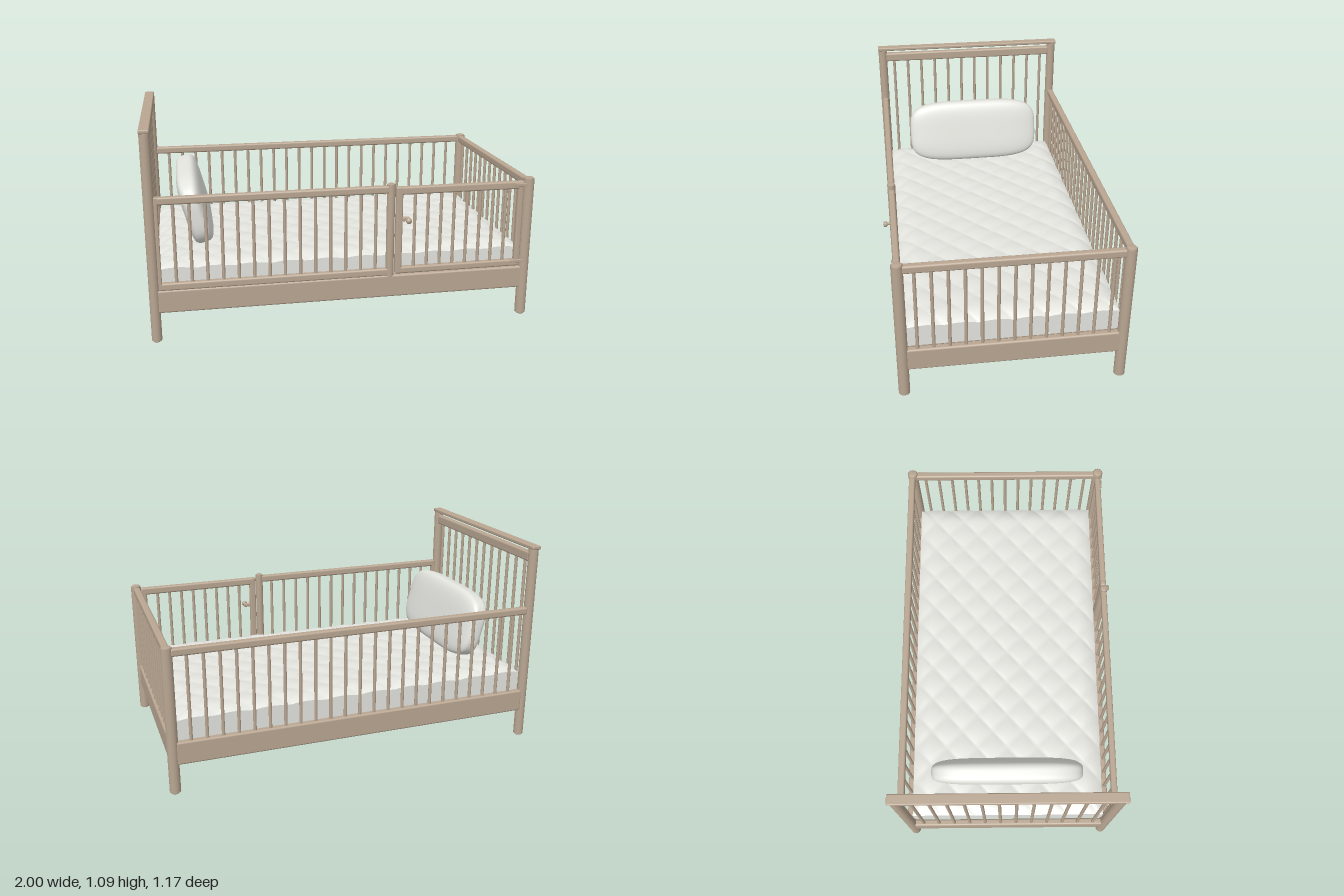
import * as THREE from 'three';
import { RoundedBoxGeometry } from 'three/addons/geometries/RoundedBoxGeometry.js';
import { mergeVertices } from 'three/addons/utils/BufferGeometryUtils.js';

const wood = new THREE.MeshStandardMaterial({ color: 0xb9a692 });
const fabric = new THREE.MeshStandardMaterial({ color: 0xe4e4df });
const FRONT = 0.53, BACK = -0.557, HEAD = -0.973, FOOT = 0.97;
const MID_Z = (FRONT + BACK) / 2;

function add(parent, name, geometry, x, y, z, material = wood) {
  const mesh = new THREE.Mesh(geometry, material);
  mesh.name = name;
  mesh.position.set(x, y, z);
  parent.add(mesh);
  return mesh;
}

// Softened beam given by its lower and upper limits
function beam(parent, name, [x0, x1], [y0, y1], [z0, z1], radius = 0.01) {
  const geometry = new RoundedBoxGeometry(x1 - x0, y1 - y0, z1 - z0, 3, radius);
  return add(parent, name, geometry, (x0 + x1) / 2, (y0 + y1) / 2, (z0 + z1) / 2);
}

// Upright round post with an eased top edge
function post(parent, name, x, z, y0, y1, r) {
  const e = r * 0.25;
  const profile = [[0, y0], [r - e, y0], [r, y0 + e], [r, y1 - e], [r - e, y1], [0, y1]]
    .map(([a, b]) => new THREE.Vector2(a, b));
  const geometry = new THREE.LatheGeometry(profile, 24).toNonIndexed();
  geometry.computeVertexNormals();
  const lathe = new THREE.LatheGeometry(profile, 24);
  geometry.dispose();
  return add(parent, name, lathe, x, 0, z);
}

// Evenly spaced round spindles from point a to point b
function spindles(parent, name, count, a, b, y0, y1) {
  const geometry = new THREE.CylinderGeometry(0.0085, 0.0085, y1 - y0, 12);
  for (let i = 0; i < count; i++) {
    const t = i / (count - 1);
    add(parent, name, geometry, a[0] + (b[0] - a[0]) * t, (y0 + y1) / 2, a[1] + (b[1] - a[1]) * t);
  }
}

function group(parent, name) {
  const g = new THREE.Group();
  g.name = name;
  parent.add(g);
  return g;
}

// Quilted slab: the upper face is crowned and stitched in diamonds
function mattressGeometry(w, h, d) {
  const geometry = new THREE.BoxGeometry(w, h, d, 150, 1, 90);
  const p = geometry.attributes.position;
  for (let i = 0; i < p.count; i++) {
    if (p.getY(i) < 0) continue;
    const x = p.getX(i), z = p.getZ(i);
    const edge = Math.min(w / 2 - Math.abs(x), d / 2 - Math.abs(z));
    const drop = 0.026 * Math.pow(1 - Math.min(edge / 0.09, 1), 2);
    const s = Math.abs(Math.sin(Math.PI * (x / 0.19 + z / 0.17)));
    const t = Math.abs(Math.sin(Math.PI * (x / 0.19 - z / 0.17)));
    p.setY(i, h / 2 - drop - 0.009 * (1 - Math.sqrt(s * t)));
  }
  geometry.computeVertexNormals();
  return geometry;
}

// Plump cushion: a subdivided cube pushed onto a superellipsoid
function pillowGeometry(w, h, d) {
  let geometry = new THREE.BoxGeometry(2, 2, 2, 24, 24, 24);
  geometry.deleteAttribute('uv');
  geometry.deleteAttribute('normal');
  geometry = mergeVertices(geometry);
  const p = geometry.attributes.position, v = new THREE.Vector3();
  for (let i = 0; i < p.count; i++) {
    v.fromBufferAttribute(p, i);
    const k = Math.pow(v.x ** 4 + v.y ** 4 + v.z ** 4, -0.25);
    p.setXYZ(i, v.x * k * w / 2, v.y * k * h / 2, v.z * k * d / 2);
  }
  geometry.computeVertexNormals();
  return geometry;
}

export function createModel() {
  const bed = new THREE.Group();
  bed.name = 'toddlerBed';

  // Corner posts
  for (const z of [FRONT, -0.553]) {
    post(bed, 'headPost', HEAD, z, 0, 1.075, 0.026);
    post(bed, 'footPost', 0.972, z, 0, 0.765, 0.028);
  }

  // Deep lower frame
  const frame = group(bed, 'frame');
  const deep = [0.155, 0.275];
  for (const z of [FRONT, BACK]) {
    beam(frame, 'sideBoard', [-0.96, 0.96], deep, [z - 0.018, z + 0.018]);
  }
  for (const x of [HEAD, FOOT]) {
    beam(frame, 'endBoard', [x - 0.018, x + 0.018], deep, [-0.54, 0.515]);
  }

  // Bed base
  for (let i = 0; i < 17; i++) {
    beam(frame, 'baseSlat', [-0.9 + i * 0.1125 - 0.025, -0.9 + i * 0.1125 + 0.025],
      [0.245, 0.265], [-0.545, 0.515], 0.004);
  }

  // Tall headboard
  const head = group(bed, 'headboard');
  beam(head, 'headCap', [-1, -0.948], [1.072, 1.092], [-0.582, 0.558], 0.006);
  beam(head, 'headTopRail', [-0.991, -0.955], [1.0, 1.053], [-0.535, 0.512]);
  spindles(head, 'headSpindle', 12, [HEAD, 0.46], [HEAD, -0.483], 0.26, 1.01);

  // Footboard
  const foot = group(bed, 'footboard');
  beam(foot, 'footTopRail', [0.952, 0.988], [0.715, 0.757], [-0.535, 0.512]);
  spindles(foot, 'footSpindle', 13, [FOOT, 0.455], [FOOT, -0.482], 0.26, 0.72);

  // Full-length back guard
  const back = group(bed, 'backGuard');
  beam(back, 'backTopRail', [-0.955, 0.955], [0.717, 0.757], [BACK - 0.018, BACK + 0.018]);
  spindles(back, 'backSpindle', 23, [-0.88, BACK], [0.88, BACK], 0.26, 0.725);

  // Fixed front guard beside the gate
  const guard = group(bed, 'frontGuard');
  const thin = [FRONT - 0.016, FRONT + 0.016];
  beam(guard, 'guardTopRail', [-0.95, 0.225], [0.717, 0.757], thin);
  beam(guard, 'guardLowerRail', [-0.95, 0.225], [0.272, 0.312], thin);
  beam(guard, 'guardEndStile', [-0.95, -0.932], [0.275, 0.757], thin, 0.005);
  spindles(guard, 'guardSpindle', 14, [-0.86, FRONT], [0.155, FRONT], 0.3, 0.725);
  post(guard, 'gatePost', 0.232, FRONT, 0.265, 0.767, 0.021);

  // Swinging gate with hinges and a knob
  const gate = group(bed, 'gate');
  beam(gate, 'gateTopRail', [0.27, 0.945], [0.706, 0.748], thin);
  beam(gate, 'gateLowerRail', [0.27, 0.945], [0.279, 0.316], thin);
  beam(gate, 'gateLatchStile', [0.258, 0.294], [0.279, 0.75], thin);
  beam(gate, 'gateHingeStile', [0.912, 0.944], [0.279, 0.748], thin);
  spindles(gate, 'gateSpindle', 8, [0.36, FRONT], [0.85, FRONT], 0.305, 0.715);
  for (const y of [0.308, 0.73]) {
    beam(gate, 'hinge', [0.89, 0.957], [y - 0.008, y + 0.008], [0.535, 0.552], 0.003);
  }
  const knobProfile = [[0, 0], [0.007, 0], [0.006, 0.015], [0.012, 0.02], [0.016, 0.028],
    [0.013, 0.037], [0, 0.04]].map(([a, b]) => new THREE.Vector2(a, b));
  const knob = add(gate, 'gateKnob', new THREE.LatheGeometry(knobProfile, 20), 0.318, 0.576, 0.545);
  knob.rotation.x = Math.PI / 2;
  beam(gate, 'knobPlate', [0.292, 0.33], [0.566, 0.586], [0.525, 0.547], 0.004);

  // Bedding
  add(bed, 'mattress', mattressGeometry(1.89, 0.143, 1.045), -0.005, 0.3365, MID_Z, fabric);
  const pillow = add(bed, 'pillow', pillowGeometry(0.13, 0.375, 0.8), -0.747, 0.594, -0.015, fabric);
  pillow.rotation.z = 0.26;

  return bed;
}
